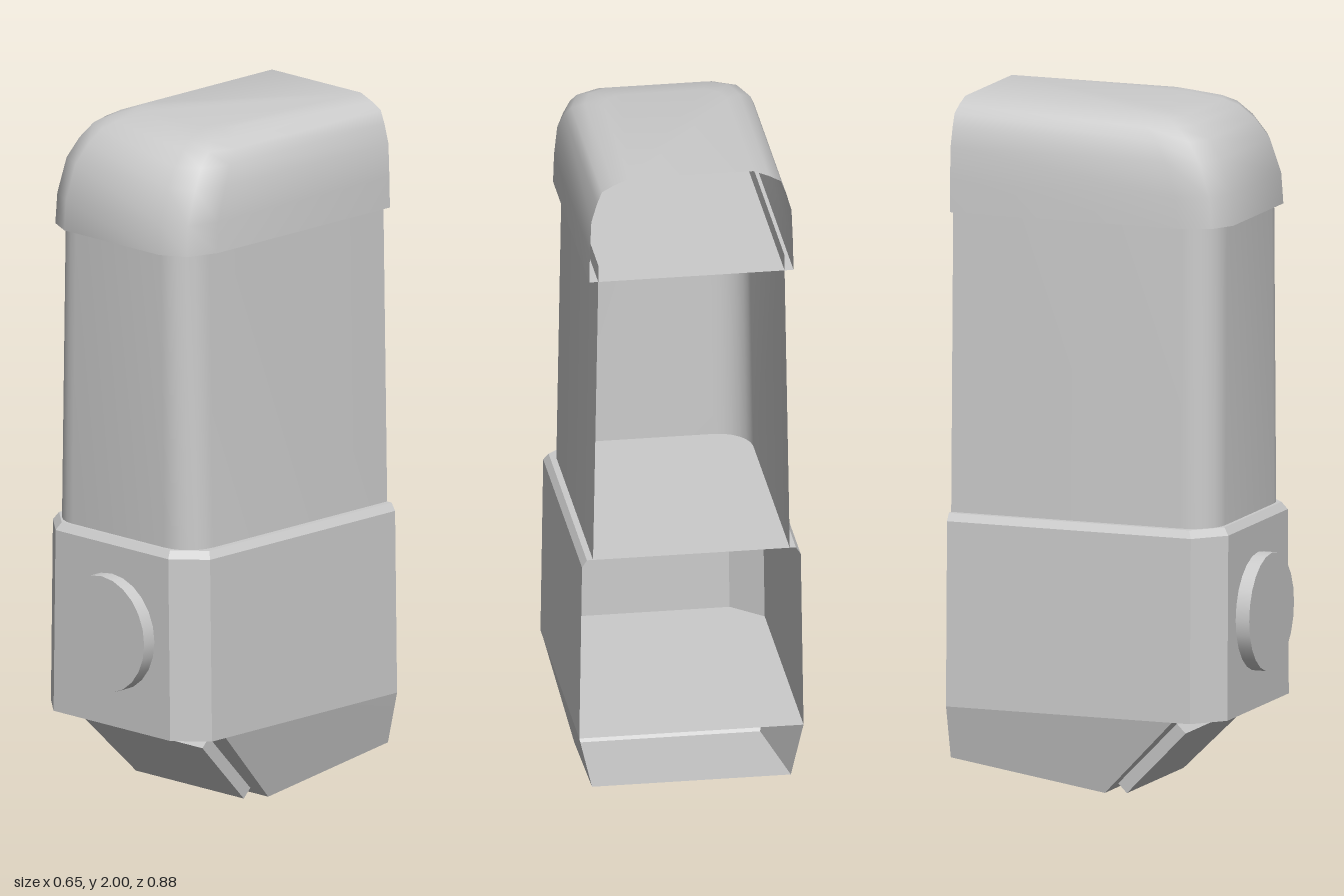
import * as THREE from 'three';
import { toCreasedNormals } from 'three/addons/utils/BufferGeometryUtils.js';

const BACK = -0.44;
const material = new THREE.MeshStandardMaterial({ color: 0xcccccc, side: THREE.DoubleSide });

// U-shaped plan, open at the back, with elliptical front corners (1 segment = chamfer)
function plan(y, w, front, rx, rz, segments) {
  const corner = [];
  for (let i = 0; i <= segments; i++) {
    const a = (i / segments) * Math.PI / 2;
    corner.push([w - rx + rx * Math.cos(a), y, front - rz + rz * Math.sin(a)]);
  }
  const right = [[w, y, BACK], ...corner];
  return [...right, ...right.map(([x, py, z]) => [-x, py, z]).reverse()];
}

// Skin between stacked plans, optionally closed with a floor and a roof
function loft(name, rows, { floor = false, roof = false, crease = 0.6 } = {}) {
  const n = rows[0].length, index = [];
  for (let j = 0; j < rows.length - 1; j++) {
    for (let i = 0; i < n - 1; i++) {
      const a = j * n + i, b = a + 1, c = b + n, d = a + n;
      index.push(a, c, b, a, d, c);
    }
  }
  const top = (rows.length - 1) * n;
  for (let i = 1; i < n - 1; i++) {
    if (floor) index.push(0, i, i + 1);
    if (roof) index.push(top, top + i + 1, top + i);
  }
  const geometry = new THREE.BufferGeometry();
  geometry.setAttribute('position', new THREE.Float32BufferAttribute(rows.flat(2), 3));
  geometry.setIndex(index);
  const mesh = new THREE.Mesh(toCreasedNormals(geometry, crease), material);
  mesh.name = name;
  return mesh;
}

export function createModel() {
  const model = new THREE.Group();
  model.name = 'housing';

  // Rounded cap: height, half width, front depth, corner radii
  const capRows = [
    [1.68, 0.297, 0.397, 0.105, 0.132],
    [1.77, 0.295, 0.391, 0.105, 0.132],
    [1.87, 0.291, 0.357, 0.105, 0.132],
    [1.925, 0.275, 0.317, 0.10, 0.125],
    [1.963, 0.26, 0.272, 0.095, 0.12],
    [1.982, 0.225, 0.232, 0.08, 0.10],
    [2.0, 0.18, 0.138, 0.06, 0.07],
  ].map((r) => plan(...r, 2));
  model.add(loft('cap', capRows, { floor: true, roof: true, crease: 1.0 }));

  // Tapering shaft, reaching a little way into the cap
  model.add(loft('shaft', [
    plan(0.8, 0.286, 0.37, 0.1, 0.1, 6),
    plan(1.73, 0.27, 0.37, 0.1, 0.1, 6),
  ]));

  // Chamfered lower body with a bevelled shoulder
  model.add(loft('lowerBody', [
    plan(0.24, 0.326, 0.396, 0.09, 0.08, 1),
    plan(0.78, 0.318, 0.396, 0.09, 0.08, 1),
    plan(0.802, 0.304, 0.38, 0.085, 0.075, 1),
  ], { floor: true, roof: true, crease: 0.2 }));

  // Wedge foot: flat underside rising to the back, sloped front
  model.add(loft('foot', [
    [[0.289, 0.085, BACK], [0.27, 0.01, 0.03], [-0.27, 0.01, 0.03], [-0.289, 0.085, BACK]],
    [[0.326, 0.24, BACK], [0.326, 0.24, 0.26], [-0.326, 0.24, 0.26], [-0.326, 0.24, BACK]],
  ], { floor: true, crease: 0.2 }));

  // Raised plate on the sloped front of the foot
  const outline = new THREE.Shape([
    new THREE.Vector2(-0.218, -0.135), new THREE.Vector2(0.218, -0.135),
    new THREE.Vector2(0.24, 0.135), new THREE.Vector2(-0.24, 0.135),
  ]);
  const plate = new THREE.Mesh(
    new THREE.ExtrudeGeometry(outline, { depth: 0.038, bevelEnabled: false }), material);
  plate.name = 'footPlate';
  plate.position.set(0, 0.126, 0.146);
  plate.rotation.x = Math.PI / 4;
  model.add(plate);

  // Round button on the front
  const button = new THREE.Mesh(new THREE.CylinderGeometry(0.172, 0.172, 0.044, 24), material);
  button.name = 'button';
  button.rotation.x = Math.PI / 2;
  button.position.set(0, 0.522, 0.416);
  model.add(button);

  return model;
}
